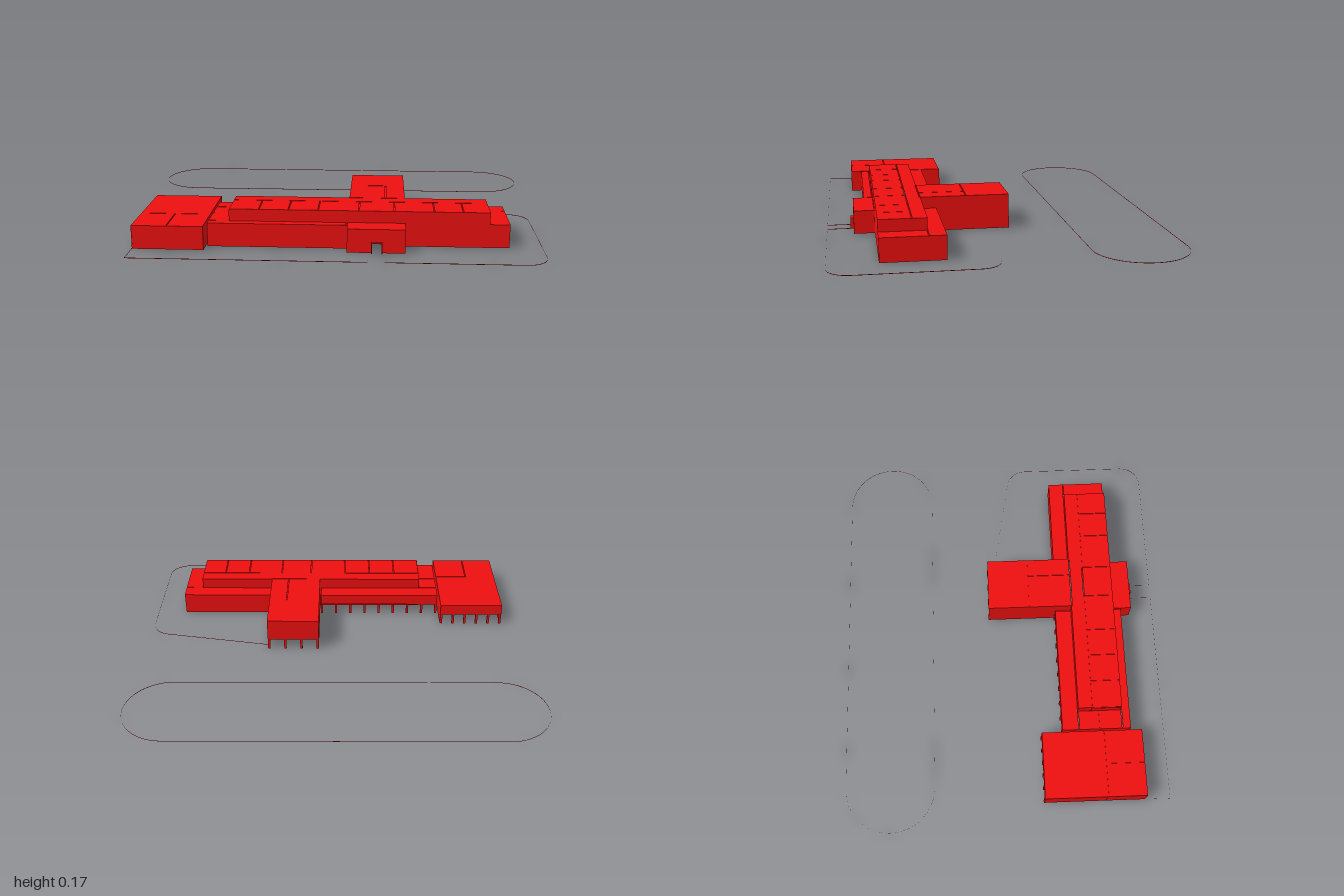
import * as THREE from 'three';

const T = 0.005;          // wall and roof thickness
const LOW = 0.11, HIGH = 0.165, OPEN = 0.055;

export function createModel() {
  const model = new THREE.Group();
  const red = new THREE.MeshStandardMaterial({ color: 0xee1010, side: THREE.DoubleSide });

  const section = (name) => {
    const g = new THREE.Group();
    g.name = name;
    model.add(g);
    return g;
  };
  const box = (parent, name, x0, x1, y0, y1, z0, z1) => {
    const m = new THREE.Mesh(new THREE.BoxGeometry(x1 - x0, y1 - y0, z1 - z0), red);
    m.position.set((x0 + x1) / 2, (y0 + y1) / 2, (z0 + z1) / 2);
    m.name = name;
    parent.add(m);
  };
  // Roof panel, with a narrow joint left at its edges
  const roof = (p, x0, x1, z0, z1, y) =>
    box(p, 'roofPanel', x0 + 0.002, x1 - 0.002, y - T, y, z0 + 0.002, z1 - 0.002);
  // Walls along x (at one z) and along z (at one x)
  const wallX = (p, x0, x1, z, y0, y1, name = 'wall') => box(p, name, x0, x1, y0, y1, z - T / 2, z + T / 2);
  const wallZ = (p, x, z0, z1, y0, y1, name = 'wall') => box(p, name, x - T / 2, x + T / 2, y0, y1, z0, z1);
  // Open arcade: a band carried on evenly spaced posts
  const arcade = (p, x0, x1, z, top, bays) => {
    wallX(p, x0, x1, z, OPEN, top, 'arcadeBand');
    for (let i = 0; i <= bays; i++) {
      const x = x0 + 0.006 + (x1 - x0 - 0.012) * i / bays;
      box(p, 'post', x - 0.006, x + 0.006, 0, OPEN, z - 0.005, z + 0.005);
    }
  };

  // Hall wing at the -x end: one large room and two small ones
  const wing = section('hallWing');
  roof(wing, -0.88, -0.555, 0.175, 0.48, LOW);
  roof(wing, -0.88, -0.72, 0.48, 0.67, LOW);
  roof(wing, -0.72, -0.555, 0.48, 0.67, LOW);
  wallZ(wing, -0.877, 0.175, 0.67, 0, LOW);
  wallZ(wing, -0.557, 0.175, 0.67, 0, LOW);
  wallX(wing, -0.88, -0.555, 0.667, 0, LOW);
  wallX(wing, -0.88, -0.555, 0.48, 0, LOW - T, 'partition');
  wallZ(wing, -0.72, 0.48, 0.667, 0, LOW - T, 'partition');
  arcade(wing, -0.88, -0.555, 0.178, LOW, 5);

  // Lower storey of the main body
  const main = section('mainBody');
  roof(main, -0.545, 0.085, 0.28, 0.36, LOW);
  roof(main, -0.545, -0.45, 0.36, 0.46, LOW);
  roof(main, -0.545, -0.45, 0.46, 0.575, LOW);
  roof(main, -0.545, 0.085, 0.575, 0.615, LOW);
  wallX(main, -0.545, 0.09, 0.613, 0, LOW);
  wallZ(main, -0.543, 0.28, 0.615, 0, LOW);
  wallX(main, -0.545, -0.45, 0.46, 0, LOW - T, 'partition');
  arcade(main, -0.545, 0.085, 0.28, LOW, 8);

  // Lower storey of the +x end
  const east = section('endWing');
  roof(east, 0.35, 0.82, 0.285, 0.36, LOW);
  roof(east, 0.73, 0.82, 0.36, 0.572, LOW);
  wallX(east, 0.35, 0.82, 0.285, 0, LOW);
  wallX(east, 0.35, 0.82, 0.57, 0, LOW);
  wallZ(east, 0.818, 0.285, 0.572, 0, LOW);
  for (const x of [0.48, 0.61, 0.73]) wallZ(east, x, 0.285, 0.36, 0, LOW - T, 'partition');

  // Raised storey: a corridor with rooms along its front side
  const upper = section('upperStorey');
  roof(upper, -0.45, 0.73, 0.36, 0.425, HIGH);
  const rooms = [-0.45, -0.315, -0.18, -0.045, 0.14, 0.30, 0.48, 0.61, 0.73];
  for (let i = 0; i < rooms.length - 1; i++) {
    roof(upper, rooms[i], rooms[i + 1], 0.425, 0.572, HIGH);
    wallZ(upper, rooms[i], 0.425, 0.57, 0, HIGH - T, 'partition');
    if (rooms[i] !== 0.14) wallX(upper, rooms[i], rooms[i + 1], 0.425, 0, HIGH - T, 'partition');
  }
  wallX(upper, -0.45, 0.73, 0.57, LOW - T, HIGH);
  for (const [a, b] of [[-0.45, 0.09], [0.35, 0.73]]) wallX(upper, a, b, 0.36, LOW - T, HIGH);
  for (const x of [-0.448, 0.728]) wallZ(upper, x, 0.36, 0.572, LOW - T, HIGH);
  wallX(upper, -0.45, 0.09, 0.36, 0, LOW - T, 'partition');

  // Rear wing, full height, open at its back
  const rear = section('rearWing');
  roof(rear, 0.09, 0.35, -0.065, 0.14, HIGH);
  roof(rear, 0.09, 0.26, 0.14, 0.36, HIGH);
  roof(rear, 0.26, 0.35, 0.14, 0.36, HIGH);
  for (const x of [0.092, 0.348]) wallZ(rear, x, -0.065, 0.36, 0, HIGH);
  wallX(rear, 0.09, 0.35, 0.14, 0, HIGH - T, 'partition');
  wallZ(rear, 0.26, 0.14, 0.36, 0, HIGH - T, 'partition');
  arcade(rear, 0.09, 0.35, -0.063, HIGH, 3);

  // Entrance block with doorway and small porch
  const entry = section('entrance');
  roof(entry, 0.09, 0.35, 0.572, 0.67, LOW);
  for (const x of [0.092, 0.348]) wallZ(entry, x, 0.57, 0.67, 0, LOW);
  wallX(entry, 0.09, 0.20, 0.667, 0, LOW);
  wallX(entry, 0.245, 0.35, 0.667, 0, LOW);
  wallX(entry, 0.20, 0.245, 0.667, 0.05, LOW);
  box(entry, 'porchRoof', 0.198, 0.248, 0.047, 0.05, 0.67, 0.685);
  for (const x of [0.20, 0.246]) wallZ(entry, x, 0.67, 0.685, 0, 0.05, 'porchSide');

  // Thin upright kerbs on the ground, each following a path of [x, z] points
  const kerb = (name, pts) => {
    const pos = [], index = [];
    pts.forEach(([x, z], i) => {
      pos.push(x, 0, z, x, 0.003, z);
      if (i) index.push(2 * i - 2, 2 * i, 2 * i - 1, 2 * i, 2 * i + 1, 2 * i - 1);
    });
    const g = new THREE.BufferGeometry();
    g.setAttribute('position', new THREE.Float32BufferAttribute(pos, 3));
    g.setIndex(index);
    g.computeVertexNormals();
    const m = new THREE.Mesh(g, red);
    m.name = name;
    model.add(m);
  };
  const arc = (cx, cz, r, a0, a1, n) => Array.from({ length: n + 1 }, (_, i) => {
    const a = a0 + (a1 - a0) * i / n;
    return [cx + r * Math.cos(a), cz + r * Math.sin(a)];
  });
  const H = Math.PI / 2;
  // Running track loop
  const loop = [...arc(0.78, -0.58, 0.22, -H, H, 32), ...arc(-0.78, -0.58, 0.22, H, 3 * H, 32)];
  kerb('trackLoop', [...loop, loop[0]]);
  // Site edges and front path
  kerb('siteEdgeLeft', [[-0.88, 0.67], [-0.88, 0.795], [0.185, 0.795], [0.185, 0.67]]);
  kerb('siteEdgeRight', [
    [0.258, 0.67], [0.258, 0.795], ...arc(0.87, 0.695, 0.1, H, 0, 10),
    ...arc(0.87, 0.16, 0.1, 0, -H * 0.87, 10), [0.35, -0.035],
  ]);
  return model;
}
